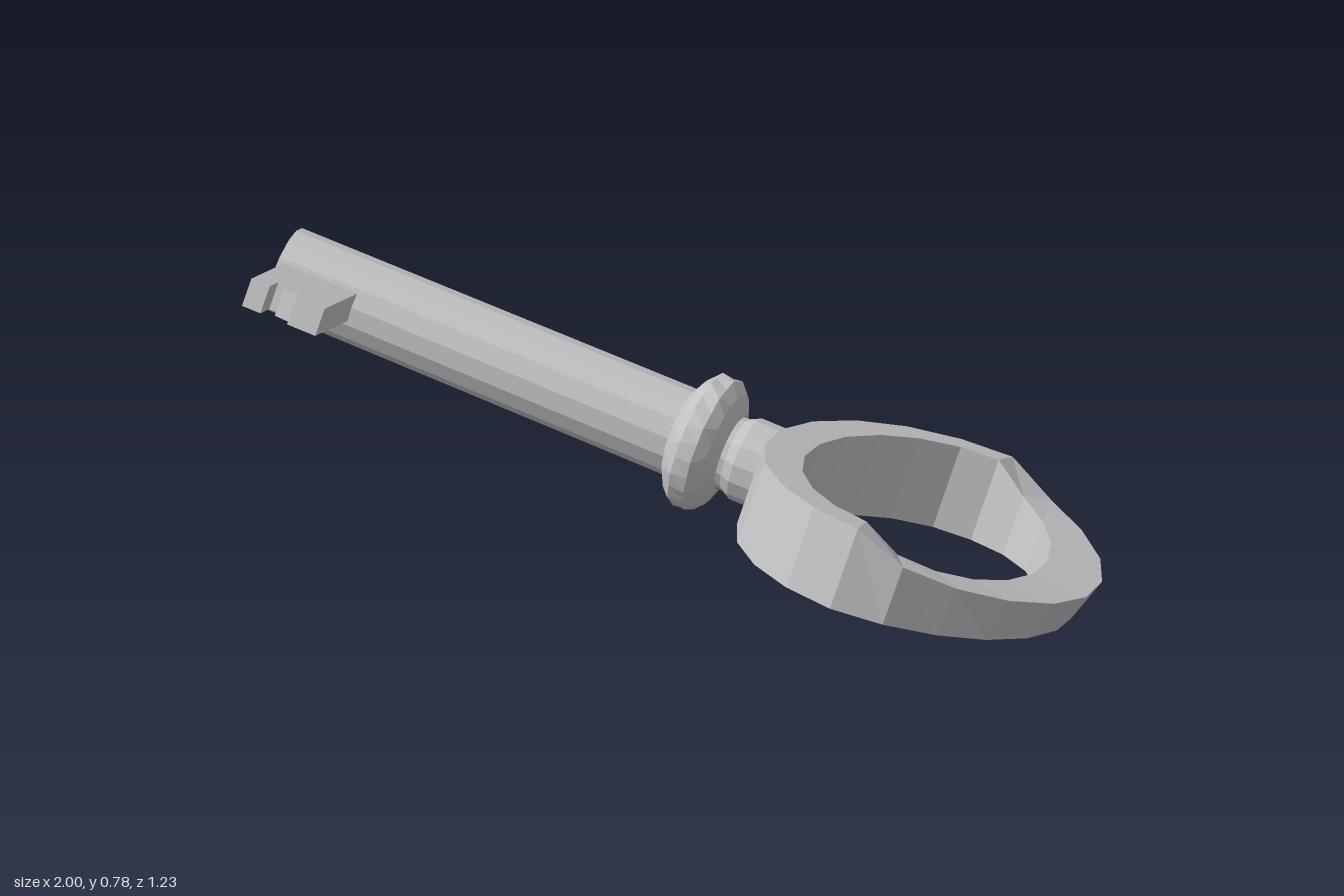
import * as THREE from 'three';

const metal = new THREE.MeshStandardMaterial({ color: 0xc2c2c2, flatShading: true });
metal.name = 'grey metal';

function part(name, geometry, parent) {
  const mesh = new THREE.Mesh(geometry, metal);
  mesh.name = name;
  parent.add(mesh);
  return mesh;
}

// Turned part along +x: profile of [distance along key, radius]
function turned(profile, sides) {
  const points = profile.map(([x, r]) => new THREE.Vector2(r, x));
  return new THREE.LatheGeometry(points, sides).rotateZ(-Math.PI / 2);
}

// Collar with slanted ribs around its rim
function collarGeometry() {
  const g = turned([[-0.065, 0.1], [-0.045, 0.137], [-0.02, 0.161],
    [0.02, 0.161], [0.045, 0.137], [0.065, 0.09]], 24);
  const p = g.attributes.position;
  for (let i = 0; i < p.count; i++) {
    const x = p.getX(i), y = p.getY(i), z = p.getZ(i);
    const r = Math.hypot(y, z);
    const angle = Math.atan2(z, y);
    const rib = r > 0.15 ? 0.003 * Math.cos(angle * 12) : 0;
    const a = angle + x * 6;
    p.setXYZ(i, x, (r + rib) * Math.cos(a), (r + rib) * Math.sin(a));
  }
  g.computeVertexNormals();
  return g;
}

// Oval bow: a tall band whose top slopes down and whose outside is bevelled at the far end
function bowGeometry() {
  const sides = 20, pos = [], index = [];
  for (let i = 0; i < sides; i++) {
    const t = (i / sides) * Math.PI * 2, c = Math.cos(t), s = Math.sin(t);
    const far = Math.max(0, c);
    const top = 0.1 - 0.092 * Math.sqrt(far), bottom = -0.1 + 0.008 * far;
    const length = 0.393 + 0.025 * far, inset = 0.04 * far;
    pos.push(
      0.288 * c - 0.01, top, 0.518 * s - 0.01,
      length * c, top, 0.607 * s,
      (length - inset) * c, bottom, (0.607 - inset) * s,
      0.288 * c - 0.01, bottom, 0.518 * s - 0.01);
    for (let j = 0; j < 4; j++) {
      const k = (j + 1) % 4, next = ((i + 1) % sides) * 4;
      const a = i * 4 + j, b = i * 4 + k;
      index.push(a, next + j, b, b, next + j, next + k);
    }
  }
  const g = new THREE.BufferGeometry();
  g.setAttribute('position', new THREE.Float32BufferAttribute(pos, 3));
  g.setIndex(index);
  const flat = g.toNonIndexed();
  flat.computeVertexNormals();
  return flat;
}

// Toothed bit, outlined along the key (x) and outwards (z)
function bitGeometry() {
  const outline = [[0.015, 0.085], [0.015, 0.348], [0.062, 0.348], [0.062, 0.28], [0.088, 0.28],
    [0.088, 0.315], [0.13, 0.322], [0.13, 0.348], [0.202, 0.348], [0.202, 0.085]];
  const shape = new THREE.Shape(outline.map(([x, z]) => new THREE.Vector2(x, z)));
  return new THREE.ExtrudeGeometry(shape, { depth: 0.068, bevelEnabled: false })
    .rotateX(Math.PI / 2).translate(0, 0.034, 0);
}

export function createModel() {
  const model = new THREE.Group();
  model.name = 'key';

  // The key lies tilted: x runs from tip to bow, z points along the bit
  const key = new THREE.Group();
  key.name = 'tiltedKey';
  const along = new THREE.Vector3(0.9645, -0.2575, 0.061).normalize();
  const side = new THREE.Vector3(0, 0.233, 0.972);
  const up = side.clone().cross(along).normalize();
  side.crossVectors(along, up);
  key.quaternion.setFromRotationMatrix(new THREE.Matrix4().makeBasis(along, up, side));
  key.position.set(-0.975, 0.69, -0.115);
  model.add(key);

  // Hollow-tipped shaft and the neck behind the collar
  part('shaft', turned([[0.5, 0], [0.5, 0.08], [0, 0.08], [0, 0.102], [1.03, 0.106]], 14), key);
  part('neck', turned([[1.1, 0.088], [1.15, 0.088], [1.175, 0.1], [1.28, 0.1], [1.29, 0]], 14), key);
  part('collar', collarGeometry(), key).position.x = 1.073;
  part('bit', bitGeometry(), key);
  part('bow', bowGeometry(), key).position.set(1.628, 0, 0.015);

  return model;
}
